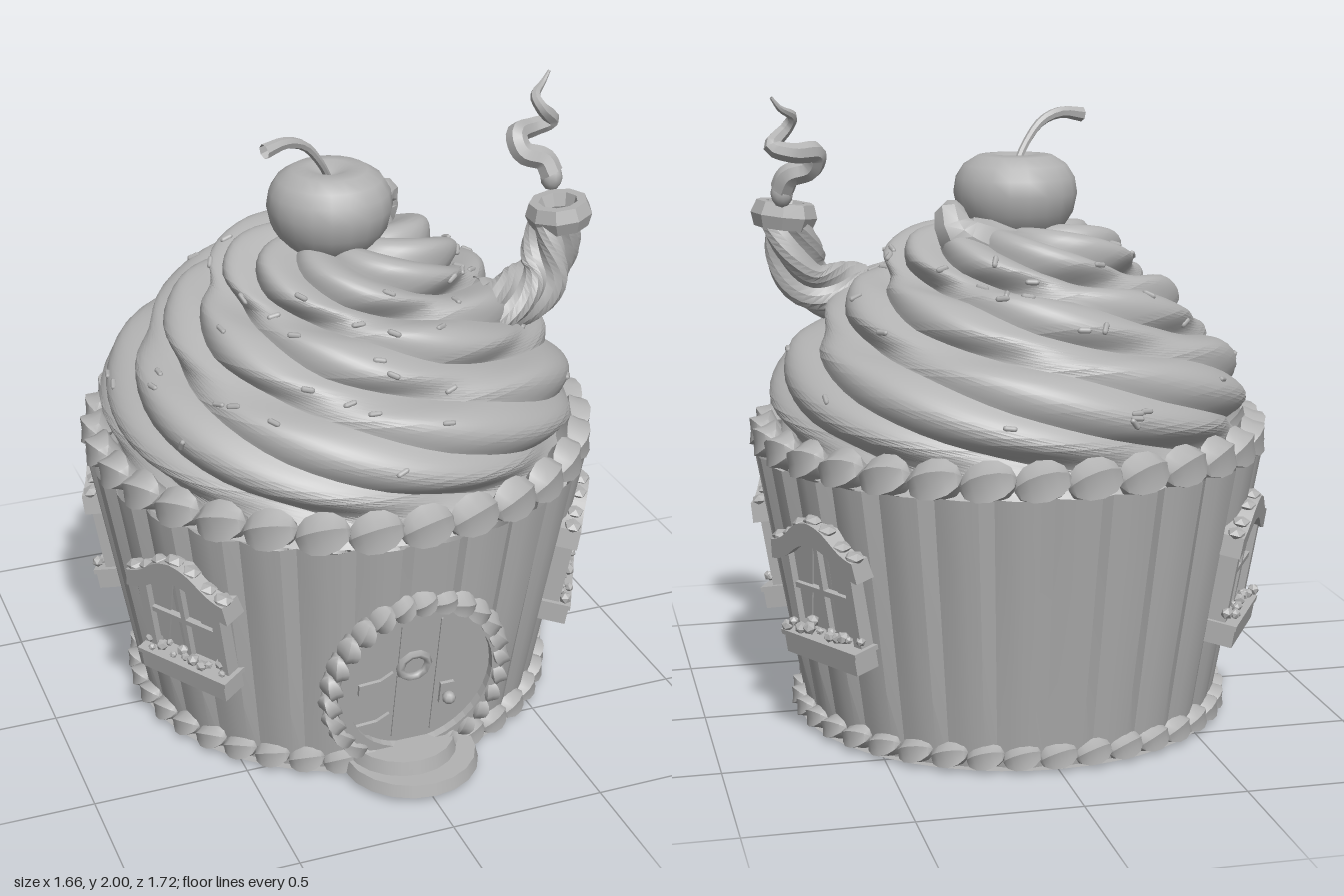
import * as THREE from 'three';
import { mergeGeometries, toCreasedNormals } from 'three/addons/utils/BufferGeometryUtils.js';
import { ParametricGeometry } from 'three/addons/geometries/ParametricGeometry.js';

const V = (x, y, z) => new THREE.Vector3(x, y, z);
const TAU = Math.PI * 2;
const clay = new THREE.MeshStandardMaterial({ color: 0xb2b2b2, side: THREE.DoubleSide });
clay.name = 'clay grey';

let seed = 7;
const rand = () => (seed = (seed * 16807) % 2147483647) / 2147483647;

function add(parent, name, geo, x = 0, y = 0, z = 0) {
  const m = new THREE.Mesh(geo, clay);
  m.name = name;
  m.position.set(x, y, z);
  parent.add(m);
  return m;
}
const box = (p, name, w, h, d, x, y, z) => add(p, name, new THREE.BoxGeometry(w, h, d), x, y, z);
const surface = (fn, nu, nv, crease = 0.5) => toCreasedNormals(new ParametricGeometry(fn, nu, nv), crease);

// Tube with varying radius and optional twisted lobes
function taperTube(points, radius, sides, steps, lobes = 0, twist = 0) {
  const curve = new THREE.CatmullRomCurve3(points.map((p) => V(...p)));
  const f = curve.computeFrenetFrames(steps, false);
  return surface((u, v, out) => {
    const i = Math.round(v * steps), a = u * TAU - (lobes ? (twist * v) / lobes : 0);
    const r = radius(v) * (lobes ? 0.72 + 0.34 * Math.abs(Math.sin((lobes * u * TAU) / 2)) : 1);
    out.copy(curve.getPointAt(v))
      .addScaledVector(f.normals[i], r * Math.cos(a))
      .addScaledVector(f.binormals[i], r * Math.sin(a));
  }, sides, steps, 0.7);
}

// Row of piped shell beads along a closed loop; at(a) gives position, out(a) the outward direction
function shellRow(count, at, out, thick, length, height, tilt) {
  const base = new THREE.SphereGeometry(1, 10, 6);
  const p = base.attributes.position;
  for (let i = 0; i < p.count; i++) {
    const k = (i % 11) % 2 ? 0.8 : 1.08;
    p.setXYZ(i, p.getX(i) * k, p.getY(i), p.getZ(i) * k);
  }
  const shell = toCreasedNormals(base, 0.6);
  const all = [];
  for (let i = 0; i < count; i++) {
    const a = (i / count) * TAU, n = out(a);
    const t = at(a + 0.02).sub(at(a - 0.02)).normalize().applyAxisAngle(n, tilt);
    const s = V(0, 0, 0).crossVectors(n, t).normalize();
    const m = new THREE.Matrix4().makeBasis(n, t, s).scale(V(thick, length, height)).setPosition(at(a));
    all.push(shell.clone().applyMatrix4(m));
  }
  return mergeGeometries(all);
}

// Flat plate from a shape, optionally with a hole
function plate(shape, depth, hole) {
  if (hole) shape.holes.push(hole);
  return new THREE.ExtrudeGeometry(shape, { depth, bevelEnabled: false, curveSegments: 20 });
}
const ellipse = (rx, ry) => new THREE.Shape().absellipse(0, 0, rx, ry, 0, TAU);

// Wall radius by height, and a group lying on the wall at a bearing from the front
const wallR = (y) => 0.66 + 0.175 * y;
function onWall(parent, name, bearing, y) {
  const g = new THREE.Group();
  g.name = name;
  g.position.set(Math.sin(bearing) * wallR(y), y, Math.cos(bearing) * wallR(y));
  g.rotation.set(0.174, bearing, 0, 'YXZ');
  parent.add(g);
  return g;
}

// Frosting surface: three stacked tiers covered in twisted strands
const STRANDS = 9;
const profile = new THREE.CatmullRomCurve3([
  [0.78, 0.87], [0.72, 0.95], [0.75, 1.03], [0.735, 1.12], [0.675, 1.215], [0.585, 1.265], [0.56, 1.33],
  [0.48, 1.41], [0.39, 1.435], [0.38, 1.49], [0.31, 1.55], [0.18, 1.58], [0, 1.57],
].map(([r, y]) => V(r, y, 0)));
function frosting(u, t, out) {
  const b = u * TAU - TAU * 0.8 * t;
  const p = profile.getPoint(t);
  const fade = Math.min(1, t / 0.12) * Math.min(1, p.x / 0.3);
  const d = 0.05 * fade * (Math.abs(Math.sin(STRANDS * u * Math.PI)) - 0.6);
  const r = Math.max(0, p.x + d * 0.8);
  return out.set(Math.sin(b) * r, p.y + d * 0.8 * t, Math.cos(b) * r);
}

function buildWindow(parent, bearing) {
  const g = onWall(parent, 'window', bearing, 0.535);
  g.translateZ(-0.012);
  box(g, 'windowPane', 0.28, 0.3, 0.008, 0, 0, 0.012);
  for (const s of [-1, 1]) {
    box(g, 'windowJamb', 0.035, 0.3, 0.08, s * 0.147, -0.02, 0.005);
    const drape = new THREE.Shape([[0, 0.13], [0.1, 0.13], [0.035, -0.13], [0, -0.13]].map(([x, y]) => new THREE.Vector2(s * (x - 0.13), y)));
    add(g, 'curtain', plate(drape, 0.006), 0, 0, 0.017);
  }
  box(g, 'mullion', 0.018, 0.3, 0.02, 0, 0, 0.027);
  box(g, 'crossbar', 0.27, 0.018, 0.02, 0, -0.01, 0.027);
  // Wavy roof over the window
  const roof = new THREE.Shape();
  roof.moveTo(-0.205, 0.07);
  roof.bezierCurveTo(-0.1, 0.08, -0.1, 0.145, 0, 0.15);
  roof.bezierCurveTo(0.1, 0.145, 0.1, 0.08, 0.205, 0.07);
  roof.lineTo(0.195, 0.135);
  roof.bezierCurveTo(0.1, 0.15, 0.1, 0.215, 0, 0.225);
  roof.bezierCurveTo(-0.1, 0.215, -0.1, 0.15, -0.195, 0.135);
  add(g, 'windowRoof', plate(roof, 0.085), 0, 0, -0.03);
  for (let i = -3; i <= 3; i++) {
    const bead = add(g, 'roofIcing', new THREE.IcosahedronGeometry(0.028, 0), i * 0.058, 0.182 + 0.042 * Math.cos((i * Math.PI) / 3), 0.025);
    bead.scale.set(1.3, 0.7, 1.1);
  }
  // Flower box
  box(g, 'flowerBox', 0.34, 0.07, 0.1, 0, -0.195, 0.03);
  box(g, 'flowerBoxLip', 0.36, 0.016, 0.105, 0, -0.163, 0.032);
  for (let i = 0; i < 12; i++) {
    const f = add(g, 'flower', new THREE.IcosahedronGeometry(0.012 + rand() * 0.01, 0), -0.16 + i * 0.029, -0.145 + rand() * 0.025, 0.035 + rand() * 0.04);
    f.rotation.set(rand() * 3, rand() * 3, 0);
  }
}

function buildDoor(parent) {
  const g = onWall(parent, 'door', 0, 0.36);
  add(g, 'doorPanel', plate(ellipse(0.25, 0.275), 0.075), 0, 0, -0.07);
  add(g, 'doorRim', plate(ellipse(0.275, 0.3), 0.1, ellipse(0.24, 0.265)), 0, 0, -0.07);
  add(g, 'doorIcing', shellRow(26, (a) => V(Math.sin(a) * 0.28 - 0.01, Math.cos(a) * 0.31, 0.005), () => V(0, 0, 1), 0.05, 0.046, 0.034, 0.4));
  for (const x of [-0.07, 0.06]) box(g, 'plankSeam', 0.006, 0.46, 0.006, x, 0, 0.007);
  add(g, 'porthole', new THREE.TorusGeometry(0.047, 0.014, 5, 10), -0.02, 0.06, 0.01);
  box(g, 'handlePlate', 0.045, 0.08, 0.012, 0.1, -0.08, 0.01);
  add(g, 'doorKnob', new THREE.SphereGeometry(0.022, 8, 6), 0.1, -0.085, 0.035);
  for (const y of [0, -0.17]) {
    const strap = new THREE.Shape([[-0.2, 0.02], [-0.13, 0.025], [-0.09, 0.05], [-0.1, 0], [-0.09, -0.05], [-0.13, -0.025], [-0.2, -0.02]].map(([x, q]) => new THREE.Vector2(x, q)));
    add(g, 'hinge', plate(strap, 0.012), 0, y, 0.004);
  }
}

export function createModel() {
  const model = new THREE.Group();
  model.name = 'cupcakeHouse';
  const house = new THREE.Group();
  house.name = 'house';
  house.position.z = -0.03;
  model.add(house);

  // Pleated wrapper wall and floor
  const pleat = [0, 0.008, 0.006, -0.018];
  const pleats = 28;
  add(house, 'wrapperWall', surface((u, v, o) => {
    const y = v * 0.88, b = u * TAU;
    const r = wallR(y) + pleat[Math.round(u * pleats * 4) % 4] * (0.4 + 0.6 * v);
    o.set(Math.sin(b) * r, y, Math.cos(b) * r);
  }, pleats * 4, 4, 0.3));
  add(house, 'floor', new THREE.CircleGeometry(0.69, 48).rotateX(Math.PI / 2), 0, 0.008, 0);

  // Piped borders
  const ring = (r, y) => (a) => V(Math.sin(a) * r, y, Math.cos(a) * r);
  add(house, 'topPiping', shellRow(31, ring(0.78, 0.922), ring(1, 0), 0.06, 0.086, 0.066, 0.25));
  add(house, 'bottomPiping', shellRow(38, ring(0.675, 0.045), ring(1, 0), 0.045, 0.06, 0.042, 0.25));

  // Frosting with its curled tip and sprinkles lying on it
  add(house, 'frosting', surface((u, v, o) => frosting(u, v, o), STRANDS * 14, 48, 0.6));
  add(model, 'frostingCurl', taperTube([[0.02, 1.5, -0.1], [0.12, 1.53, -0.17], [0.2, 1.58, -0.185], [0.215, 1.63, -0.17], [0.19, 1.64, -0.12]],
    (v) => 0.1 - 0.07 * v * v, 8, 12));
  const p = V(0, 0, 0), q = V(0, 0, 0);
  for (let i = 0; i < 60; i++) {
    const u = (Math.floor(rand() * STRANDS) + 0.25 + 0.5 * rand()) / STRANDS;
    const t = 0.2 + 0.6 * rand();
    frosting(u, t, p);
    frosting(u + 0.02 * (rand() - 0.5), t + 0.02 * (rand() - 0.5), q);
    const s = add(house, 'sprinkle', new THREE.CapsuleGeometry(0.009, 0.026, 2, 6), p.x, p.y, p.z);
    s.quaternion.setFromUnitVectors(V(0, 1, 0), q.sub(p).normalize());
  }

  // Cherry and stem
  const cherry = [[0, -0.14], [0.08, -0.135], [0.15, -0.095], [0.185, -0.04], [0.198, 0.02], [0.19, 0.07], [0.165, 0.11], [0.12, 0.138], [0.07, 0.142], [0.025, 0.12], [0, 0.11]];
  add(model, 'cherry', new THREE.LatheGeometry(cherry.map(([x, y]) => new THREE.Vector2(x, y)), 20), -0.03, 1.66, -0.005);
  add(model, 'cherryStem', taperTube([[-0.03, 1.76, -0.01], [-0.07, 1.83, 0.02], [-0.13, 1.9, 0.045], [-0.2, 1.925, 0.07], [-0.275, 1.915, 0.095]],
    (v) => 0.012 + 0.012 * v * v, 7, 12));

  // Twisted chimney, open rim and curling smoke
  add(model, 'chimney', taperTube([[0.42, 1.345, 0.19], [0.53, 1.355, 0.18], [0.62, 1.4, 0.165], [0.66, 1.49, 0.15], [0.685, 1.62, 0.145]],
    (v) => 0.098 - 0.014 * v, 20, 22, 4, 16));
  const rim = add(model, 'chimneyRim', toCreasedNormals(new THREE.TorusGeometry(0.078, 0.03, 6, 9), 0.4), 0.69, 1.61, 0.145);
  rim.rotation.set(Math.PI / 2, 0.12, 0);
  rim.scale.z = 1.6;
  const puff = add(model, 'smokePuff', new THREE.IcosahedronGeometry(0.036, 1), 0.71, 1.69, 0.04);
  puff.scale.y = 1.25;
  add(model, 'smoke', taperTube([[0.71, 1.7, 0.04], [0.69, 1.745, 0.02], [0.625, 1.77, 0], [0.615, 1.82, -0.03],
    [0.69, 1.825, -0.07], [0.75, 1.845, -0.06], [0.7, 1.9, -0.03], [0.685, 1.935, -0.05], [0.73, 1.965, -0.09], [0.755, 1.997, -0.1]],
    (v) => 0.034 * (1 - v * v) + 0.005, 7, 44));

  // Windows, door and doorstep
  for (const b of [62, 120, -58, -120]) buildWindow(house, THREE.MathUtils.degToRad(b));
  buildDoor(house);
  add(model, 'lowerStep', new THREE.CylinderGeometry(0.21, 0.22, 0.04, 20), 0, 0.04, 0.64);
  add(model, 'upperStep', new THREE.CylinderGeometry(0.17, 0.18, 0.045, 20), -0.02, 0.083, 0.61);
  return model;
}
